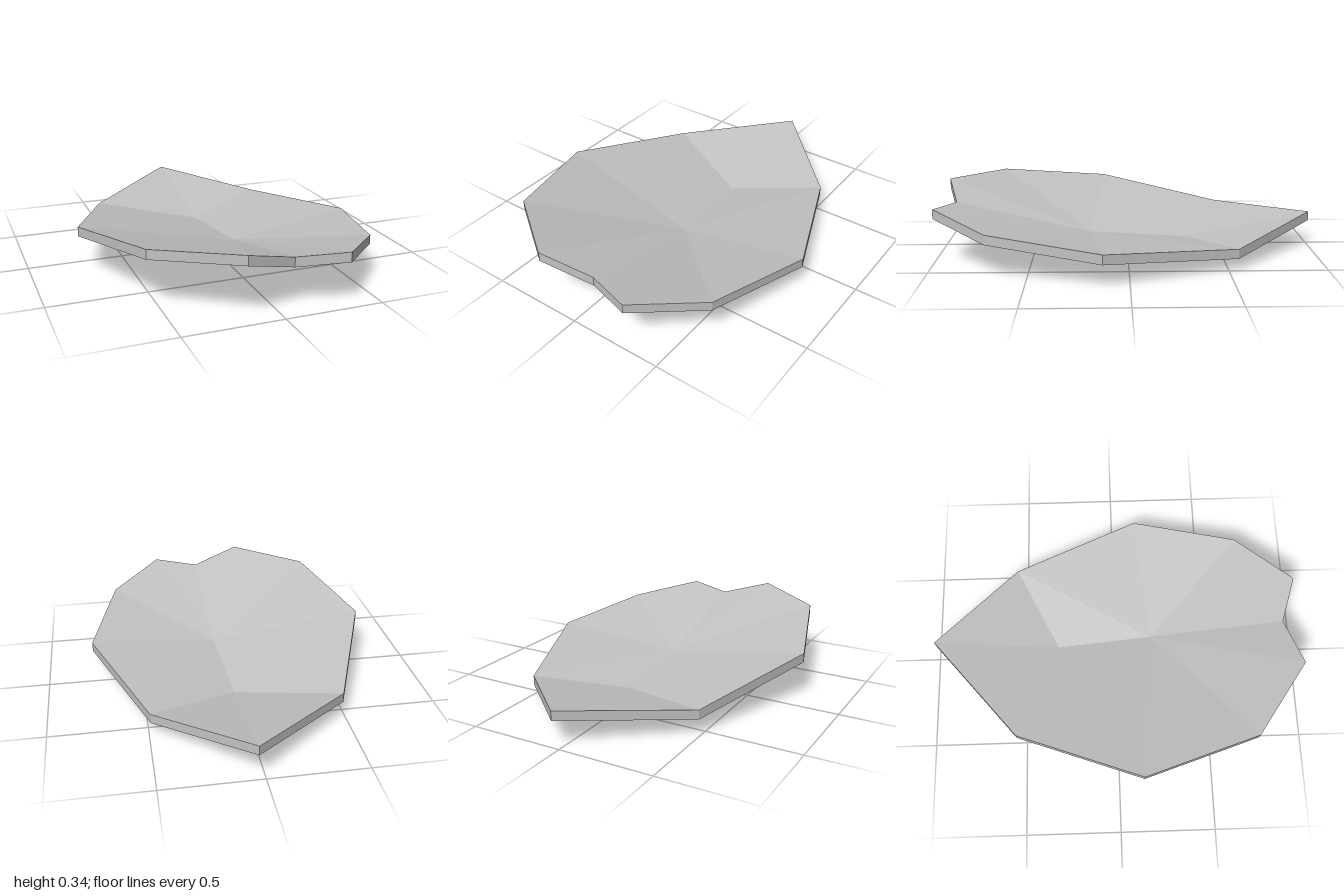
import * as THREE from 'three';

// Flat-shaded mesh from a list of corner triples
function facetMesh(name, triangles, material) {
  const geometry = new THREE.BufferGeometry();
  geometry.setAttribute('position', new THREE.Float32BufferAttribute(triangles.flat(2), 3));
  geometry.computeVertexNormals();
  const mesh = new THREE.Mesh(geometry, material);
  mesh.name = name;
  return mesh;
}

export function createModel() {
  const group = new THREE.Group();
  group.name = 'curvedShard';
  const grey = new THREE.MeshStandardMaterial({ color: 0xc2c2c2, flatShading: true });
  grey.name = 'lightGrey';

  const thickness = 0.05;

  // Lower rim, from the back tip around by +x to the front notch and back
  const rim = [
    [0.035, 0.137, -1], [0.49, 0.06, -0.55], [0.755, 0.117, 0.13], [0.6, 0.172, 0.7],
    [0.32, 0.23, 1], [0.075, 0.21, 0.92], [-0.19, 0.285, 1], [-0.57, 0.266, 0.73],
    [-0.755, 0.192, 0.13], [-0.49, 0.08, -0.55],
  ];
  const keel = [0.035, 0, -0.32];
  const centre = [0.07, 0.04, 0.2];
  const raise = ([x, y, z]) => [x, y + thickness, z];

  // Dished underside: two facets meet at the tip, the rest fan from the centre
  const underside = [];
  const edges = [];
  rim.forEach((a, i) => {
    const b = rim[(i + 1) % rim.length];
    const tipFacet = i === 0 || i === rim.length - 1;
    underside.push([a, b, tipFacet ? keel : centre]);
    // Upright band around the rim
    edges.push([a, raise(a), raise(b)], [a, raise(b), b]);
  });
  underside.push([keel, rim[1], centre], [rim[9], keel, centre]);

  // Upper face repeats the underside, lifted and turned over
  const top = underside.map(([a, b, c]) => [raise(a), raise(c), raise(b)]);

  group.add(
    facetMesh('underside', underside, grey),
    facetMesh('topSurface', top, grey),
    facetMesh('rimEdge', edges, grey),
  );
  return group;
}
